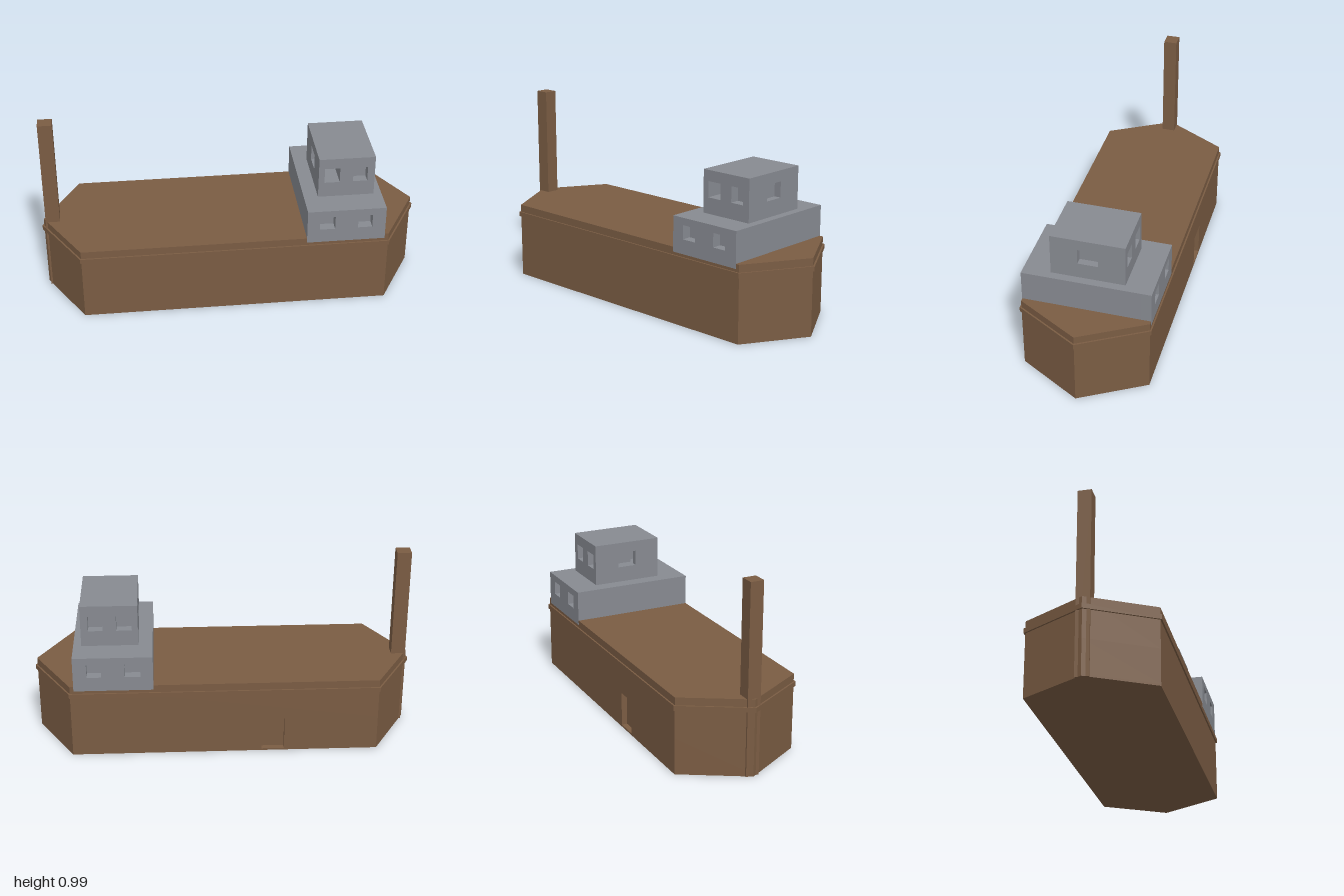
import * as THREE from 'three';

const wood = new THREE.MeshStandardMaterial({ color: 0x7a5c43, flatShading: true });
const steel = new THREE.MeshStandardMaterial({ color: 0x878a91, flatShading: true });

function addMesh(parent, name, geometry, material) {
  const mesh = new THREE.Mesh(geometry, material);
  mesh.name = name;
  parent.add(mesh);
  return mesh;
}

const toShape = (points) => new THREE.Shape(points.map(([x, y]) => new THREE.Vector2(x, y)));

// Six-sided boat outline; an optional notch [x0, x1, depth] cuts into the back edge
function outline(tip, shoulder, half, notch) {
  const points = [[-tip, 0], [-shoulder, -half], [shoulder, -half], [tip, 0], [shoulder, half]];
  if (notch) {
    const [x0, x1, d] = notch;
    points.push([x1, half], [x1, half - d], [x0, half - d], [x0, half]);
  }
  points.push([-shoulder, half]);
  return toShape(points);
}

// Horizontal layer between two heights
function layer(shape, y0, y1) {
  const g = new THREE.ExtrudeGeometry(shape, { depth: y1 - y0, bevelEnabled: false });
  return g.rotateX(-Math.PI / 2).translate(0, y0, 0);
}

// Upright slab between two z values, with rectangular window holes [x0, x1, y0, y1]
function slab([x0, x1, y0, y1], windows, z0, z1) {
  const rect = (a, b, c, d) => [[a, c], [b, c], [b, d], [a, d]];
  const shape = toShape(rect(x0, x1, y0, y1));
  for (const w of windows) shape.holes.push(toShape(rect(...w)));
  return new THREE.ExtrudeGeometry(shape, { depth: z1 - z0, bevelEnabled: false }).translate(0, 0, z0);
}

export function createModel() {
  const model = new THREE.Group();
  model.name = 'boat';

  // Hull with a recessed doorway in the back side
  const hull = new THREE.Group();
  hull.name = 'hull';
  model.add(hull);
  addMesh(hull, 'hullBottom', layer(outline(0.99, 0.8, 0.33), 0, 0.01), wood);
  addMesh(hull, 'hullWithDoorway', layer(outline(0.99, 0.8, 0.33, [-0.31, -0.19, 0.03]), 0.01, 0.19), wood);
  addMesh(hull, 'hullUpper', layer(outline(0.99, 0.8, 0.33), 0.19, 0.405), wood);
  addMesh(hull, 'rubbingStrake', layer(outline(1, 0.805, 0.338), 0.34, 0.365), wood);

  // Mast post at the bow, running down through the hull
  const mast = addMesh(model, 'mast', new THREE.BoxGeometry(0.075, 0.99, 0.07), wood);
  mast.position.set(-0.942, 0.495, 0);

  // Lower cabin, two windows front and back
  const lower = new THREE.Group();
  lower.name = 'lowerCabin';
  model.add(lower);
  const low = [0.37, 0.78, 0.38, 0.568];
  const lowWindows = [[0.435, 0.515, 0.457, 0.53], [0.635, 0.71, 0.457, 0.53]];
  addMesh(lower, 'lowerFrontWall', slab(low, lowWindows, 0.28, 0.331), steel);
  addMesh(lower, 'lowerCore', slab(low, [], -0.28, 0.28), steel);
  addMesh(lower, 'lowerBackWall', slab(low, lowWindows, -0.331, -0.28), steel);

  // Upper cabin, two windows front and back and one at each end
  const upper = new THREE.Group();
  upper.name = 'upperCabin';
  model.add(upper);
  const up = [0.444, 0.738, 0.568, 0.792];
  const upWindows = [[0.475, 0.555, 0.652, 0.735], [0.625, 0.7, 0.652, 0.735]];
  addMesh(upper, 'upperFrontWall', slab(up, upWindows, 0.14, 0.19), steel);
  addMesh(upper, 'upperFrontCore', slab(up, [upWindows[0]], 0.052, 0.14), steel);
  addMesh(upper, 'upperBackCore', slab(up, [], -0.14, -0.052), steel);
  addMesh(upper, 'upperBackWall', slab(up, upWindows, -0.19, -0.14), steel);

  // Middle slice, notched at both ends for the end windows
  const [x0, x1, y0, y1] = up;
  const middle = toShape([
    [x0, y0], [x1, y0], [x1, 0.652], [0.7, 0.652], [0.7, 0.735], [x1, 0.735],
    [x1, y1], [x0, y1], [x0, 0.735], [0.51, 0.735], [0.51, 0.652], [x0, 0.652],
  ]);
  const middleGeometry = new THREE.ExtrudeGeometry(middle, { depth: 0.104, bevelEnabled: false });
  addMesh(upper, 'upperEndWindows', middleGeometry.translate(0, 0, -0.052), steel);

  return model;
}
